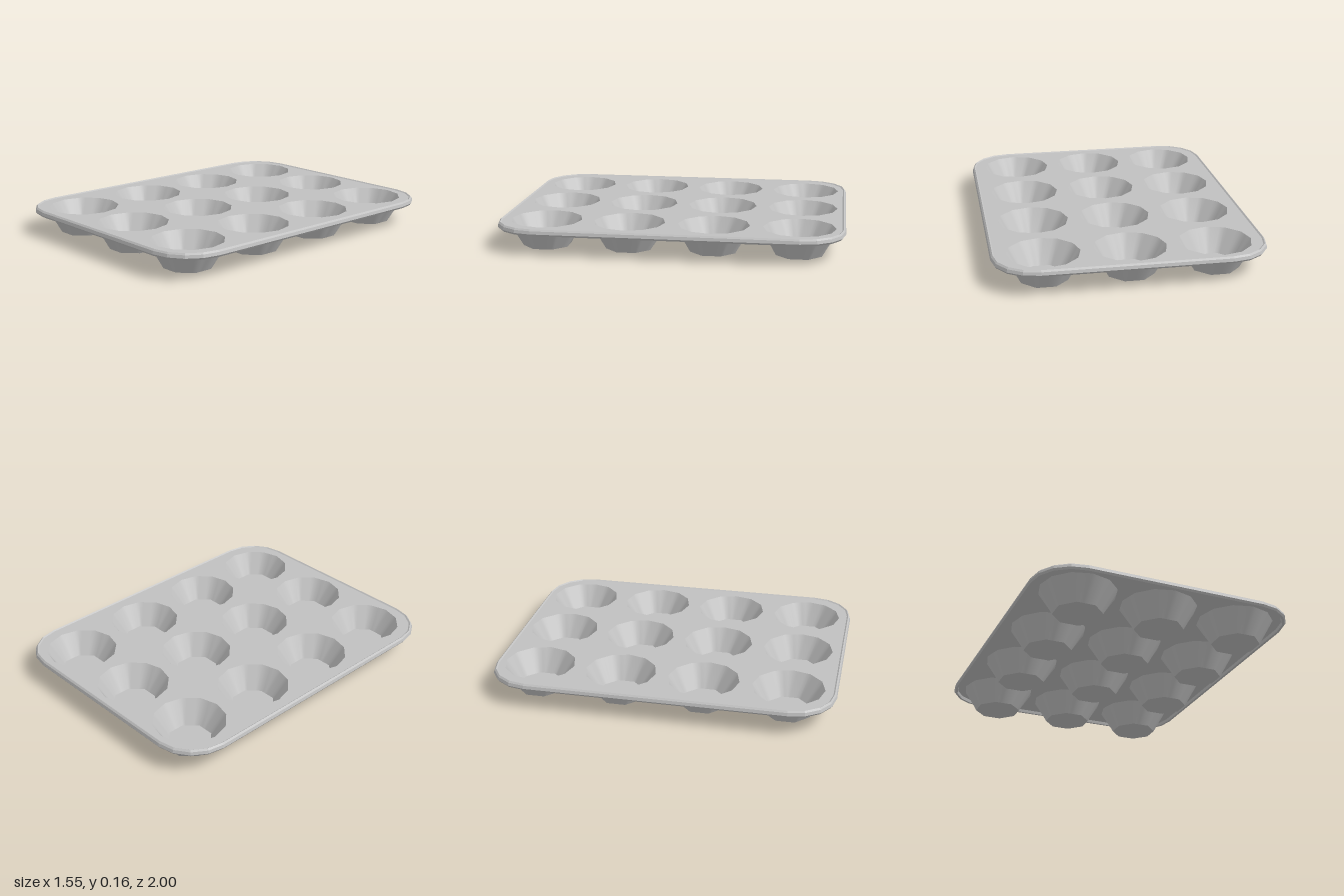
import * as THREE from 'three';
import { mergeGeometries } from 'three/addons/utils/BufferGeometryUtils.js';

const steel = new THREE.MeshStandardMaterial({ color: 0xc0c0c0 });
steel.name = 'brushed steel';

const SHEET_TOP = 0.15;
const SHEET_THICK = 0.014;
const OFFSET_Z = -0.008;

// Distance from the centre to the edge of a regular polygon at an angle.
function polygonRadius(sides, radius, phase, angle) {
  const step = (Math.PI * 2) / sides;
  const local = THREE.MathUtils.euclideanModulo(angle - phase, step) - step / 2;
  return (radius * Math.cos(step / 2)) / Math.cos(local);
}

function polygonRing(sides, radius, phase, y) {
  const ring = [];
  for (let i = 0; i < 48; i++) {
    const a = (i / 48) * Math.PI * 2;
    const r = polygonRadius(sides, radius, phase, a);
    ring.push(new THREE.Vector3(r * Math.cos(a), y, r * Math.sin(a)));
  }
  return ring;
}

// Outline of the pan with rounded corners, moved in or out by an offset.
function panRing(offset, y) {
  const ring = [];
  const signs = [[1, 1], [-1, 1], [-1, -1], [1, -1]];
  signs.forEach(([sx, sz], q) => {
    for (let k = 0; k <= 4; k++) {
      const a = (q + k / 4) * Math.PI / 2;
      const r = 0.25 + offset;
      ring.push(new THREE.Vector3(sx * 0.525 + r * Math.cos(a), y, sz * 0.75 + r * Math.sin(a)));
    }
  });
  return ring;
}

// Skin closed rings; each band keeps its own normals so the edges stay sharp.
function loft(rings, flat) {
  const bands = [];
  for (let b = 0; b < rings.length - 1; b++) {
    const n = rings[b].length;
    const index = [];
    for (let i = 0; i < n; i++) {
      const j = (i + 1) % n;
      index.push(i, n + i, j, j, n + i, n + j);
    }
    let band = new THREE.BufferGeometry().setFromPoints([...rings[b], ...rings[b + 1]]);
    band.setIndex(index);
    if (flat) band = band.toNonIndexed();
    band.computeVertexNormals();
    bands.push(band);
  }
  return mergeGeometries(bands);
}

export function createModel() {
  const group = new THREE.Group();
  group.name = 'muffinPan';

  const add = (name, geometry, x = 0, y = 0, z = 0) => {
    const mesh = new THREE.Mesh(geometry, steel);
    mesh.name = name;
    mesh.position.set(x, y, z);
    group.add(mesh);
    return mesh;
  };

  const centres = [];
  for (let row = 0; row < 4; row++) {
    for (let col = -1; col <= 1; col++) {
      centres.push([col * 0.485, (row - 1.5) * 0.488 + OFFSET_Z]);
    }
  }

  // Flat sheet with twelve-sided openings
  const outline = new THREE.Shape(panRing(-0.022, 0).map((p) => new THREE.Vector2(p.x, -p.z)));
  for (const [cx, cz] of centres) {
    const points = [];
    for (let i = 0; i < 12; i++) {
      const a = (i / 12) * Math.PI * 2;
      points.push(new THREE.Vector2(cx + 0.207 * Math.cos(a), -cz + 0.207 * Math.sin(a)));
    }
    outline.holes.push(new THREE.Path(points));
  }
  const sheet = new THREE.ExtrudeGeometry(outline, { depth: SHEET_THICK, bevelEnabled: false });
  sheet.rotateX(-Math.PI / 2);
  add('topSheet', sheet, 0, SHEET_TOP - SHEET_THICK, 0);

  // Rolled rim: offset from the outline, height
  const rimProfile = [
    [-0.028, 0.14], [-0.022, 0.119], [-0.008, 0.119], [0, 0.13],
    [-0.005, 0.147], [-0.014, 0.156], [-0.022, 0.15],
  ];
  add('rolledRim', loft(rimProfile.map(([o, y]) => panRing(o, y)), true));

  // Tapered cups with wall thickness: underside, outer wall, inner wall, floor
  const eighth = Math.PI / 8;
  const cup = loft([
    polygonRing(8, 0, eighth, 0),
    polygonRing(8, 0.14, eighth, 0),
    polygonRing(12, 0.222, 0, 0.138),
    polygonRing(12, 0.207, 0, SHEET_TOP),
    polygonRing(8, 0.126, eighth, 0.02),
    polygonRing(8, 0, eighth, 0.02),
  ], false);
  centres.forEach(([x, z], i) => add(`cup${i + 1}`, cup, x, 0, z));

  return group;
}
